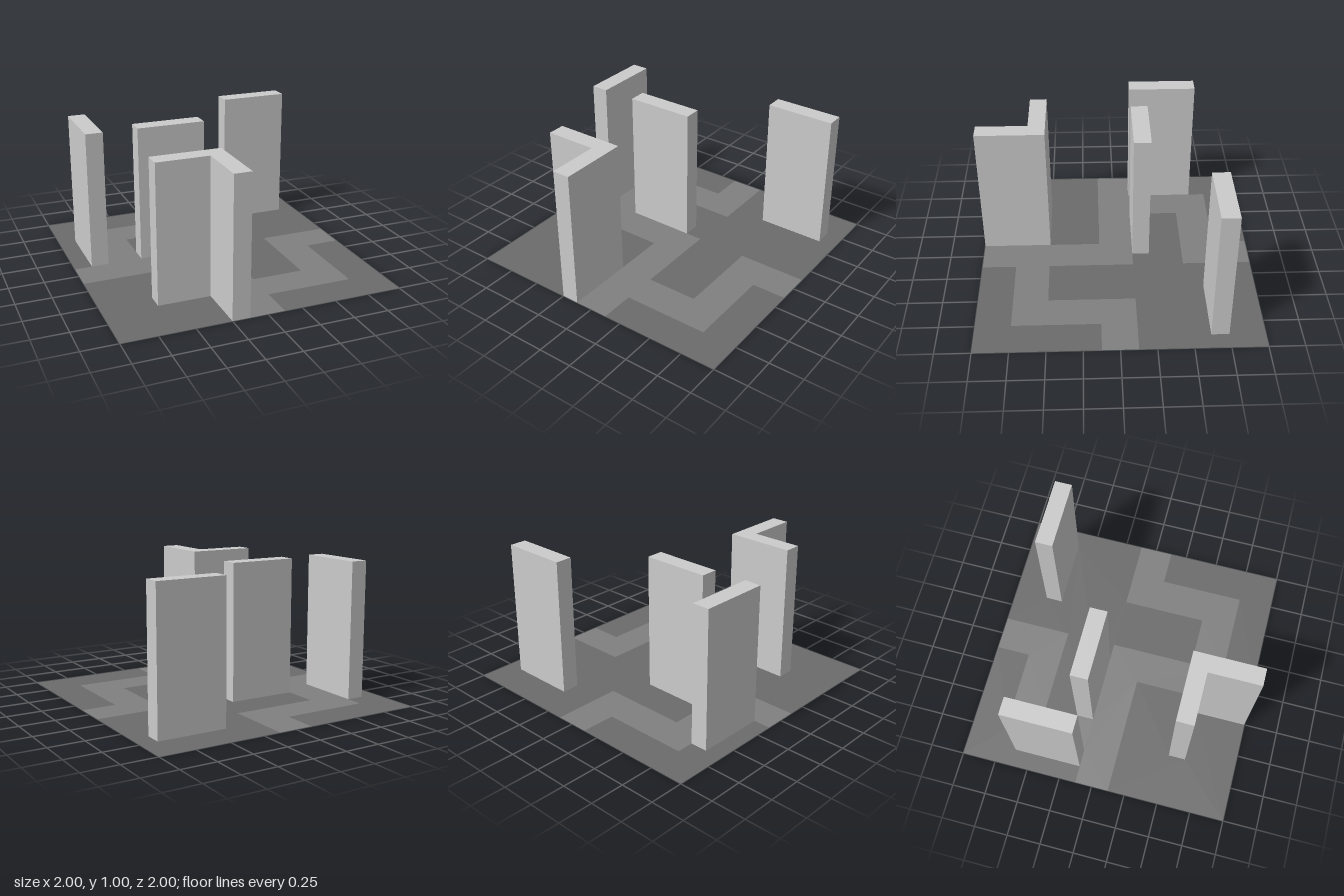
import * as THREE from 'three';
import { mergeGeometries } from 'three/addons/utils/BufferGeometryUtils.js';

const WALL_HEIGHT = 1;

const material = (color) =>
  new THREE.MeshStandardMaterial({ color, side: THREE.DoubleSide, flatShading: true });

// Outlines are [x, z] corners, clockwise as seen from above
const toPoints = (outline) => outline.map(([x, z]) => new THREE.Vector2(x, -z));

const rect = (x0, z0, x1, z1) => [[x0, z0], [x1, z0], [x1, z1], [x0, z1]];

// Flat horizontal sheet facing up, with optional holes
function sheet(outline, y = 0, holes = []) {
  const shape = new THREE.Shape(toPoints(outline));
  shape.holes = holes.map((h) => new THREE.Path(toPoints(h)));
  return new THREE.ShapeGeometry(shape).rotateX(-Math.PI / 2).translate(0, y, 0);
}

// Hollow wall block: upright sides and a top, open underneath
function wallGeometry(outline) {
  const parts = [sheet(outline, WALL_HEIGHT)];
  outline.forEach(([ax, az], i) => {
    const [bx, bz] = outline[(i + 1) % outline.length];
    const side = new THREE.PlaneGeometry(Math.hypot(bx - ax, bz - az), WALL_HEIGHT);
    side.rotateY(Math.atan2(bz - az, ax - bx));
    side.translate((ax + bx) / 2, WALL_HEIGHT / 2, (az + bz) / 2);
    parts.push(side);
  });
  return mergeGeometries(parts);
}

export function createModel() {
  const model = new THREE.Group();
  const add = (name, geometry, mat) => {
    const mesh = new THREE.Mesh(geometry, mat);
    mesh.name = name;
    model.add(mesh);
  };

  const walls = {
    westWall: rect(-0.875, -0.625, -0.75, -0.125),
    middleWall: rect(-0.5, -0.25, 0, -0.125),
    eastWall: rect(0.375, -0.75, 0.875, -0.625),
    cornerWall: [[-0.625, 0.5], [-0.125, 0.5], [-0.125, 1], [-0.25, 1], [-0.25, 0.625], [-0.625, 0.625]],
  };

  // Winding path through the tile
  const path = [
    [-0.125, -1], [0.125, -1], [0.125, -0.5], [-0.5, -0.5], [-0.5, -0.125], [0.125, -0.125],
    [0.125, 0.5], [0.5, 0.5], [0.5, -0.125], [1, -0.125], [1, 0.125], [0.75, 0.125],
    [0.75, 0.75], [0.125, 0.75], [0.125, 1], [-0.125, 1], [-0.125, 0.125], [-1, 0.125],
    [-1, -0.125], [-0.75, -0.125], [-0.75, -0.75], [-0.125, -0.75],
  ];
  add('path', sheet(path), material(0x808080));

  // Darker ground around the path, cut out under the walls
  const groundMaterial = material(0x6b6b6b);
  const northWest = [
    [-1, -1], [-0.125, -1], [-0.125, -0.75], [-0.75, -0.75],
    [-0.75, -0.625], [-0.875, -0.625], [-0.875, -0.125], [-1, -0.125],
  ];
  const northEast = [
    [0.125, -1], [1, -1], [1, -0.125], [0.5, -0.125], [0.5, 0.5], [0.125, 0.5],
    [0.125, -0.125], [0, -0.125], [0, -0.25], [-0.5, -0.25], [-0.5, -0.5], [0.125, -0.5],
  ];
  const southWest = [
    [-1, 0.125], [-0.125, 0.125], [-0.125, 0.5], [-0.625, 0.5],
    [-0.625, 0.625], [-0.25, 0.625], [-0.25, 1], [-1, 1],
  ];
  const southEast = [[0.75, 0.125], [1, 0.125], [1, 1], [0.125, 1], [0.125, 0.75], [0.75, 0.75]];
  add('groundNorthWest', sheet(northWest), groundMaterial);
  add('groundNorthEast', sheet(northEast, 0, [walls.eastWall]), groundMaterial);
  add('groundSouthWest', sheet(southWest), groundMaterial);
  add('groundSouthEast', sheet(southEast), groundMaterial);

  // Free-standing walls
  const wallMaterial = material(0xcccccc);
  for (const [name, outline] of Object.entries(walls)) add(name, wallGeometry(outline), wallMaterial);

  return model;
}
